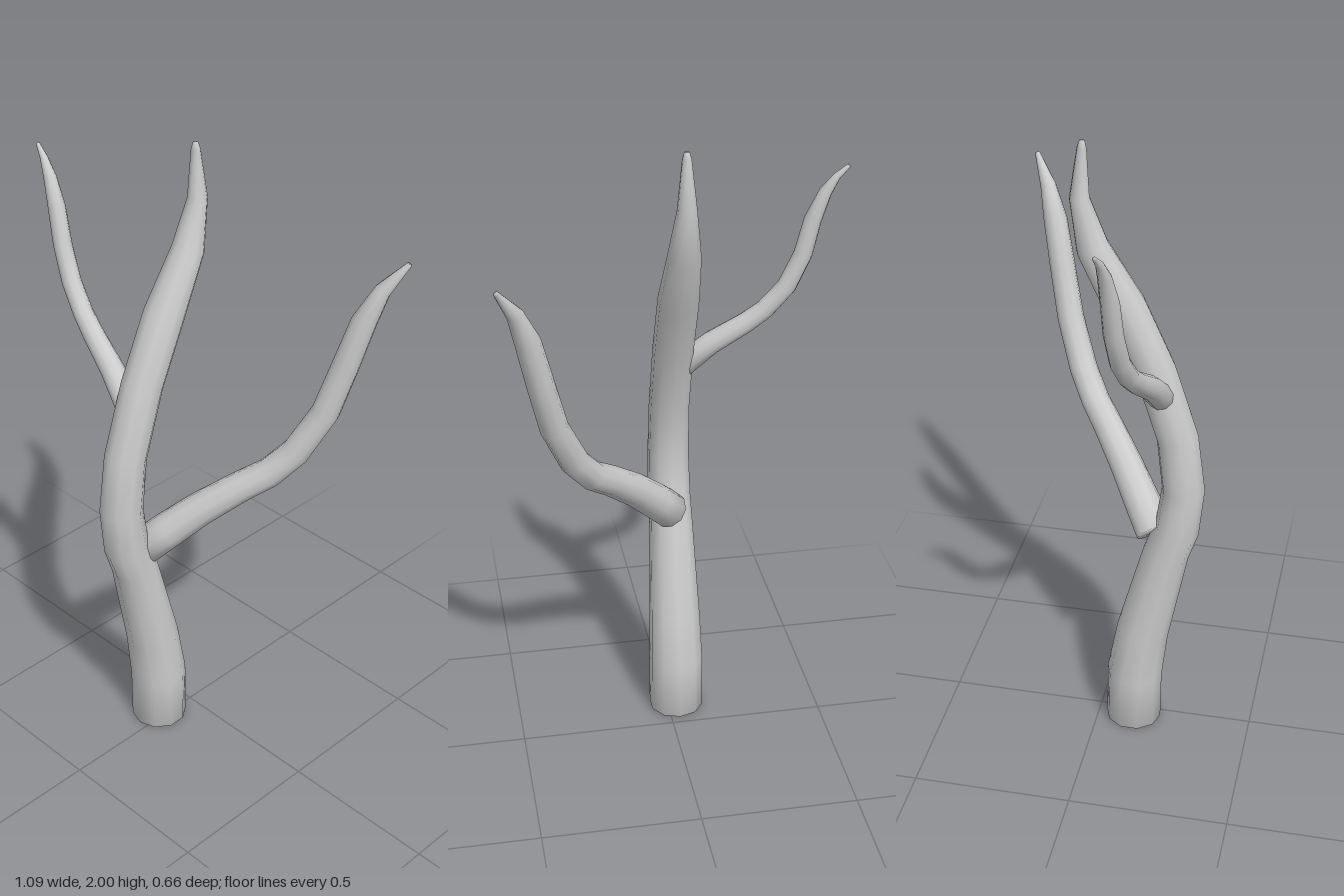
import * as THREE from 'three';

const SIDES = 10;

// Closed tapering limb: one ring per [x, y, z, radius], bent within a vertical plane.
function limb(name, rings, heading, material) {
  const pts = rings.map(r => new THREE.Vector3(r[0], r[1], r[2]));
  const side = new THREE.Vector3(heading[1], 0, -heading[0]).normalize();
  const last = pts.length - 1;
  const pos = [], idx = [];
  pts.forEach((p, i) => {
    const tangent = pts[Math.min(i + 1, last)].clone().sub(pts[Math.max(i - 1, 0)]).normalize();
    const other = tangent.clone().cross(side).normalize();
    for (let k = 0; k < SIDES; k++) {
      const a = k / SIDES * Math.PI * 2;
      const v = p.clone()
        .addScaledVector(side, Math.sin(a) * rings[i][3])
        .addScaledVector(other, -Math.cos(a) * rings[i][3]);
      pos.push(v.x, v.y, v.z);
    }
  });
  // end caps share the ring vertices so the shading rolls over the rim
  const bottom = pos.length / 3, top = bottom + 1;
  pos.push(...pts[0].toArray(), ...pts[last].toArray());
  for (let k = 0; k < SIDES; k++) {
    const n = (k + 1) % SIDES;
    for (let i = 0; i < last; i++) {
      const a = i * SIDES + k, b = i * SIDES + n;
      idx.push(a, b, b + SIDES, a, b + SIDES, a + SIDES);
    }
    idx.push(bottom, n, k, top, last * SIDES + k, last * SIDES + n);
  }
  const g = new THREE.BufferGeometry();
  g.setAttribute('position', new THREE.Float32BufferAttribute(pos, 3));
  g.setIndex(idx);
  g.computeVertexNormals();
  const mesh = new THREE.Mesh(g, material);
  mesh.name = name;
  return mesh;
}

export function createModel() {
  const group = new THREE.Group();
  group.name = 'bareTree';
  const bark = new THREE.MeshStandardMaterial({ color: 0xcccccc, side: THREE.DoubleSide });

  // Trunk: sways forward, then back; [y, z, radius]
  const trunk = [
    [0, 0.115, 0.09], [0.18, 0.117, 0.09], [0.35, 0.142, 0.084], [0.66, 0.213, 0.072],
    [0.75, 0.245, 0.07], [0.9, 0.262, 0.067], [1.08, 0.24, 0.065], [1.3, 0.168, 0.064],
    [1.5, 0.077, 0.063], [1.68, -0.022, 0.05], [1.83, -0.06, 0.03], [1.98, -0.052, 0.014], [2, -0.051, 0.008],
  ].map(([y, z, r]) => [-0.03, y, z, r]);
  group.add(limb('trunk', trunk, [0, -1], bark));

  // Large branch, reaching left and back; [x, y, radius]
  const large = [
    [-0.02, 0.725, 0.06], [0.035, 0.79, 0.058], [0.11, 0.875, 0.053], [0.2, 0.962, 0.048],
    [0.262, 1.015, 0.046], [0.32, 1.095, 0.045], [0.382, 1.24, 0.043], [0.42, 1.4, 0.041],
    [0.453, 1.545, 0.038], [0.488, 1.645, 0.025], [0.54, 1.73, 0.008],
  ].map(([x, y, r]) => [x, y, 0.12 - 0.89 * (x - 0.04), r]);
  group.add(limb('largeBranch', large, [1, -0.89], bark));

  // Small branch, higher up on the right; [x, y, radius]
  const small = [
    [-0.068, 1.235, 0.041], [-0.15, 1.307, 0.037], [-0.257, 1.378, 0.033], [-0.312, 1.423, 0.031],
    [-0.375, 1.5, 0.03], [-0.42, 1.605, 0.029], [-0.445, 1.715, 0.027], [-0.478, 1.8, 0.02],
    [-0.51, 1.85, 0.012], [-0.544, 1.883, 0.006],
  ].map(([x, y, r]) => [x, y, 0.188 + 0.203 * (x + 0.09), r]);
  group.add(limb('smallBranch', small, [-1, -0.203], bark));

  return group;
}
